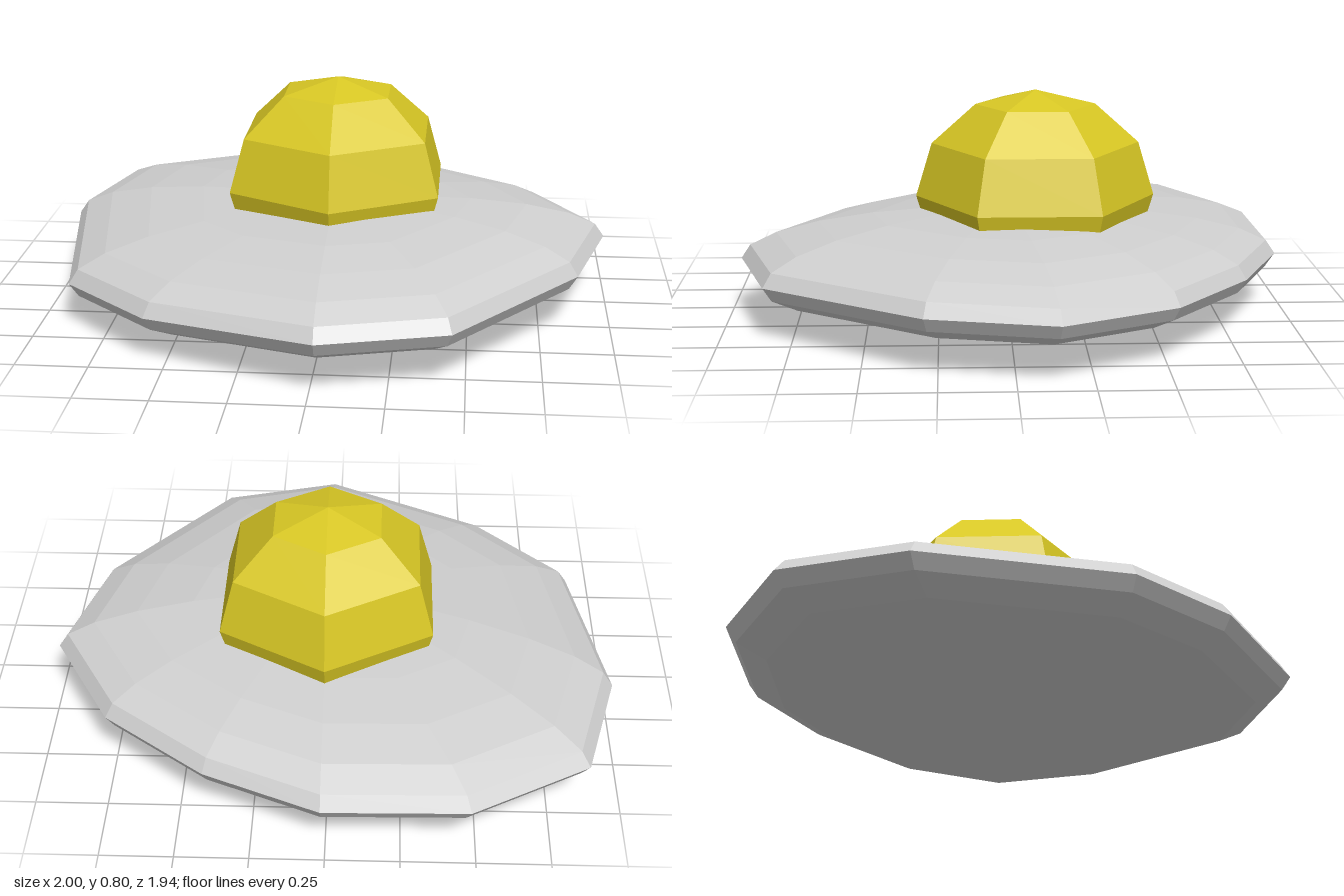
import * as THREE from 'three';

const hullGrey = new THREE.MeshStandardMaterial({ color: 0xcfcfcf, flatShading: true });
hullGrey.name = 'hullGrey';
const domeYellow = new THREE.MeshStandardMaterial({ color: 0xd8c724, flatShading: true });
domeYellow.name = 'domeYellow';

// Rim corners [x, z, lift], from the right side (-x) round by the front
const RIM = [
  [-1, -0.3, 0.005], [-0.89, 0.395, -0.035], [-0.57, 0.71, -0.03], [0.02, 0.965, 0],
  [0.455, 0.845, 0], [0.88, 0.295, 0.01], [0.995, -0.14, 0.015], [0.775, -0.535, 0.01],
  [0.415, -0.81, 0.005], [0.015, -0.98, 0], [-0.48, -0.97, 0], [-0.885, -0.74, 0.005],
];

// Flattened sphere whose spokes are pulled out to the uneven rim
function saucerGeometry() {
  const n = RIM.length, height = 0.19, cx = 0.015, cz = 0.01;
  const geometry = new THREE.SphereGeometry(1, n, 12);
  const pos = geometry.attributes.position;
  for (let i = 0; i < pos.count; i++) {
    const [x, z, lift] = RIM[(i % (n + 1)) % n];
    const reach = Math.hypot(pos.getX(i), pos.getZ(i));
    pos.setXYZ(i,
      cx + (x - cx) * reach,
      height * (1 + pos.getY(i)) + lift * reach,
      cz + (z - cz) * reach);
  }
  geometry.computeVertexNormals();
  return geometry;
}

export function createModel() {
  const model = new THREE.Group();
  model.name = 'flyingSaucer';

  const saucer = new THREE.Mesh(saucerGeometry(), hullGrey);
  saucer.name = 'saucerHull';
  model.add(saucer);

  // Six-sided dome with a corner facing the front, sunk into the hull
  const domeGeometry = new THREE.SphereGeometry(1, 6, 6)
    .rotateY(Math.PI / 2)
    .scale(0.43, 0.385, 0.43)
    .translate(0.015, 0.415, -0.1);
  const dome = new THREE.Mesh(domeGeometry, domeYellow);
  dome.name = 'dome';
  model.add(dome);

  return model;
}
